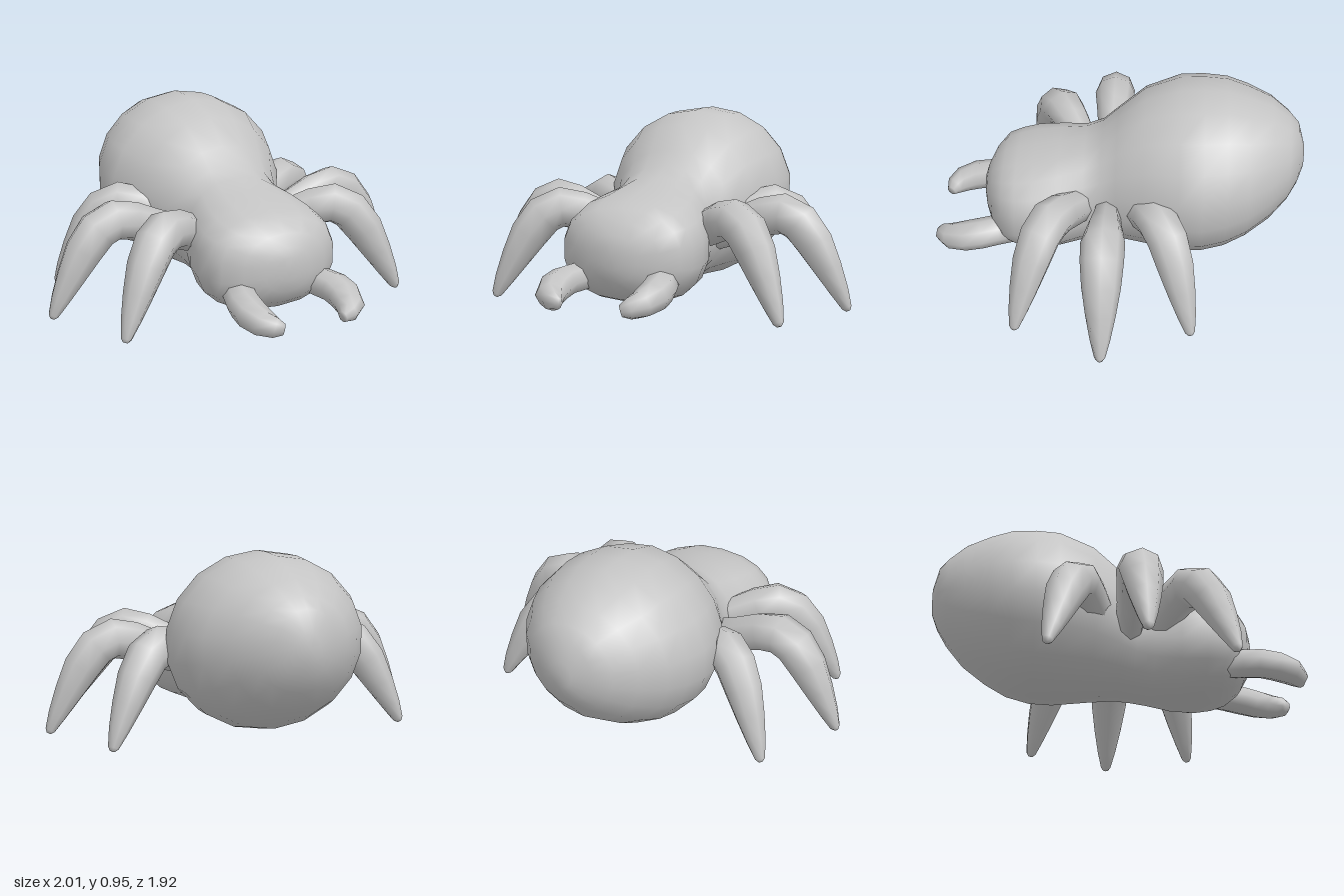
import * as THREE from 'three';

// Skin a list of rings (arrays of Vector3, counter-clockwise about the path direction) and cap both ends
function skin(rings) {
  const n = rings[0].length, pos = [], idx = [];
  rings.forEach(r => r.forEach(p => pos.push(p.x, p.y, p.z)));
  for (let i = 0; i < rings.length - 1; i++) {
    for (let j = 0; j < n; j++) {
      const k = (j + 1) % n, a = i * n + j, b = i * n + k;
      idx.push(a, b, a + n, b, b + n, a + n);
    }
  }
  [0, rings.length - 1].forEach((ri, end) => {
    const c = new THREE.Vector3();
    rings[ri].forEach(p => c.addScaledVector(p, 1 / n));
    const ci = pos.length / 3;
    pos.push(c.x, c.y, c.z);
    for (let j = 0; j < n; j++) {
      const a = ri * n + j, b = ri * n + (j + 1) % n;
      if (end) idx.push(ci, a, b); else idx.push(ci, b, a);
    }
  });
  const g = new THREE.BufferGeometry();
  g.setAttribute('position', new THREE.Float32BufferAttribute(pos, 3));
  g.setIndex(idx);
  g.computeVertexNormals();
  return g;
}

// Tapered limb along points [x, y, z, sideRadius, upRadius]
function limb(points, sides = 8) {
  const c = points.map(p => new THREE.Vector3(p[0], p[1], p[2]));
  const Y = new THREE.Vector3(0, 1, 0);
  return skin(c.map((p, i) => {
    const t = c[Math.min(i + 1, c.length - 1)].clone().sub(c[Math.max(i - 1, 0)]).normalize();
    const s = Y.clone().cross(t).normalize();
    const u = t.clone().cross(s);
    return Array.from({ length: sides }, (_, j) => {
      const a = j / sides * Math.PI * 2;
      return p.clone().addScaledVector(s, Math.cos(a) * points[i][3])
        .addScaledVector(u, Math.sin(a) * points[i][4]);
    });
  }));
}

// Body sections, back to front: [z, bottom, top, half width, squareness]
const BODY = [
  [-0.96, 0.50, 0.64, 0.06, 2], [-0.93, 0.42, 0.75, 0.15, 2], [-0.88, 0.34, 0.80, 0.24, 2],
  [-0.79, 0.235, 0.87, 0.33, 2], [-0.67, 0.15, 0.915, 0.42, 2], [-0.56, 0.09, 0.95, 0.465, 2],
  [-0.44, 0.06, 0.955, 0.49, 2], [-0.32, 0.055, 0.95, 0.485, 2], [-0.14, 0.07, 0.89, 0.415, 2],
  [0.0, 0.08, 0.77, 0.335, 2.1], [0.08, 0.075, 0.69, 0.305, 2.2], [0.17, 0.065, 0.645, 0.30, 2.3],
  [0.30, 0.05, 0.615, 0.345, 2.4], [0.43, 0.05, 0.59, 0.37, 2.4], [0.52, 0.065, 0.567, 0.355, 2.4],
  [0.59, 0.09, 0.545, 0.32, 2.4], [0.65, 0.135, 0.49, 0.23, 2.3], [0.685, 0.20, 0.425, 0.13, 2.2],
  [0.70, 0.26, 0.38, 0.06, 2]
];

function bodyGeometry(sides = 18) {
  const bend = (v, e) => Math.sign(v) * Math.pow(Math.abs(v), 2 / e);
  return skin(BODY.map(([z, lo, hi, w, e]) => Array.from({ length: sides }, (_, j) => {
    const a = (j + 0.5) / sides * Math.PI * 2;
    return new THREE.Vector3(w * bend(Math.cos(a), e),
      (lo + hi) / 2 + (hi - lo) / 2 * bend(Math.sin(a), e), z);
  })));
}

// Leg path: [distance out, height, side radius, up radius]
const LEG = [
  [0.26, 0.355, 0.07, 0.09], [0.42, 0.41, 0.083, 0.095], [0.54, 0.46, 0.097, 0.1],
  [0.64, 0.48, 0.11, 0.105], [0.73, 0.44, 0.108, 0.105], [0.81, 0.34, 0.097, 0.098],
  [0.88, 0.22, 0.075, 0.075], [0.94, 0.11, 0.05, 0.05], [0.98, 0.03, 0.027, 0.027],
  [0.988, 0.014, 0.012, 0.012]
];

// Jaw path: [x, y, z, side radius, up radius]
const JAW = [
  [0.21, 0.19, 0.54, 0.075, 0.07], [0.23, 0.19, 0.63, 0.085, 0.075], [0.255, 0.185, 0.71, 0.088, 0.075],
  [0.26, 0.17, 0.79, 0.088, 0.073], [0.24, 0.15, 0.87, 0.075, 0.065],
  [0.2, 0.135, 0.915, 0.052, 0.052], [0.165, 0.125, 0.93, 0.025, 0.03]
];

export function createModel() {
  const model = new THREE.Group();
  const shell = new THREE.MeshStandardMaterial({ color: 0xc4c4c4 });
  shell.name = 'paleGrey';
  const add = (name, geometry) => {
    const mesh = new THREE.Mesh(geometry, shell);
    mesh.name = name;
    model.add(mesh);
  };

  add('body', bodyGeometry());

  // Three legs and one jaw on each side
  for (const [side, s] of [['left', 1], ['right', -1]]) {
    for (const [place, deg, shift] of [['Front', 29.5, 0.085], ['Middle', 0, 0], ['Back', -29.5, 0.085]]) {
      const a = THREE.MathUtils.degToRad(deg);
      add(side + place + 'Leg', limb(LEG.map(([d, y, rs, ru]) =>
        [s * (d - shift) * Math.cos(a), y, 0.045 + (d - shift) * Math.sin(a), rs, ru])));
    }
    add(side + 'Jaw', limb(JAW.map(([x, ...rest]) => [s * x, ...rest])));
  }
  return model;
}
